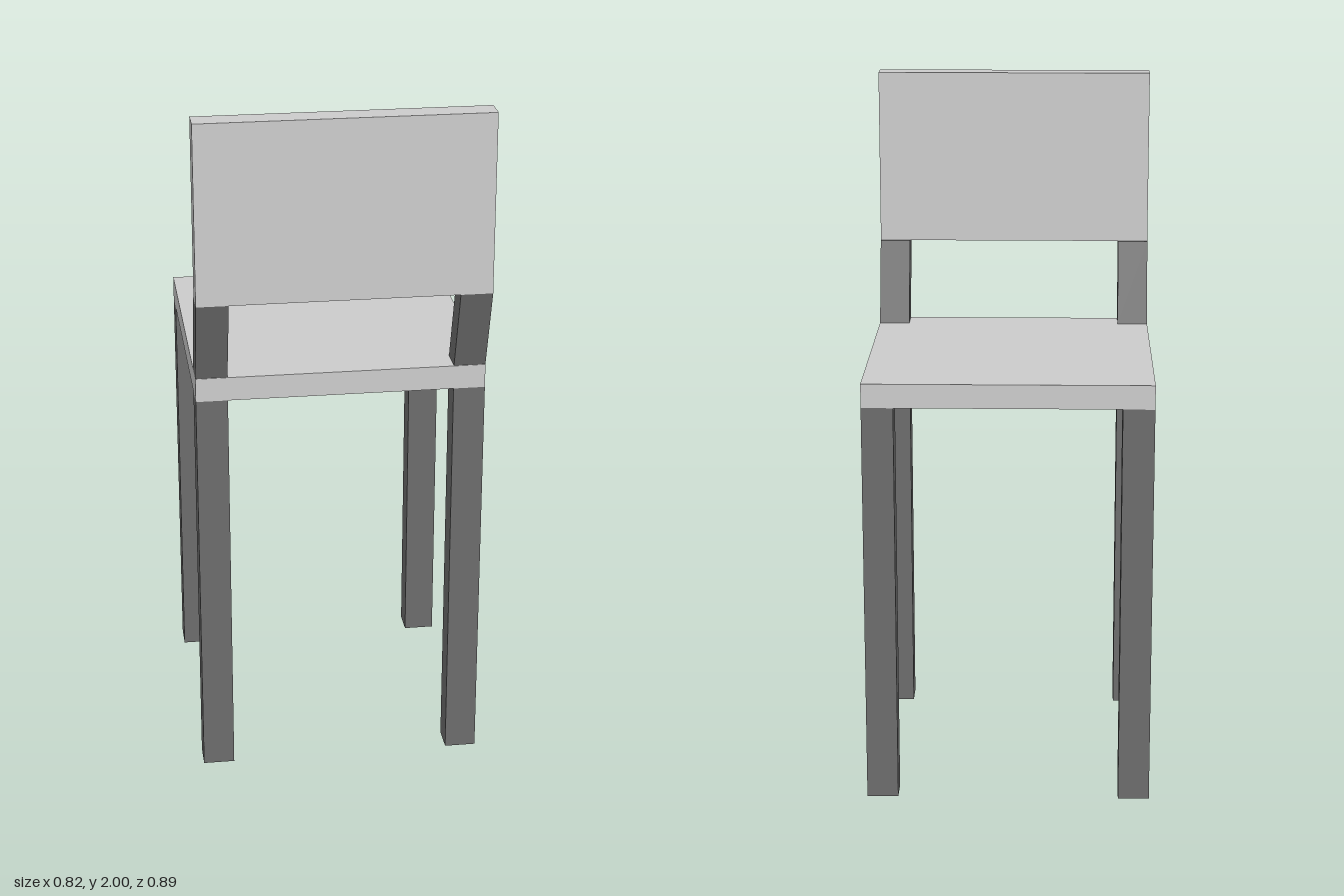
import * as THREE from 'three';

const light = new THREE.MeshStandardMaterial({ color: 0xcccccc });
const dark = new THREE.MeshStandardMaterial({ color: 0x6c6c6c });

const WIDTH = 0.82, LEG_WIDTH = 0.09;
const SEAT_BOTTOM = 1.174, SEAT_TOP = 1.243, BACK_BOTTOM = 1.485;

// Box given by its min and max corners
function box(name, [x0, y0, z0], [x1, y1, z1], material) {
  const geometry = new THREE.BoxGeometry(x1 - x0, y1 - y0, z1 - z0);
  geometry.translate((x0 + x1) / 2, (y0 + y1) / 2, (z0 + z1) / 2);
  const mesh = new THREE.Mesh(geometry, material);
  mesh.name = name;
  return mesh;
}

// Slides the upper corners of a box along z
function lean(mesh, middleY, shift) {
  const p = mesh.geometry.attributes.position;
  for (let i = 0; i < p.count; i++) {
    if (p.getY(i) > middleY) p.setZ(i, p.getZ(i) + shift);
  }
  mesh.geometry.computeVertexNormals();
  return mesh;
}

export function createModel() {
  const chair = new THREE.Group();
  chair.name = 'chair';
  const half = WIDTH / 2;

  // Seat slab and backrest panel
  chair.add(box('seat', [-half, SEAT_BOTTOM, -0.447], [half, SEAT_TOP, 0.372], light));
  chair.add(box('backrest', [-half, BACK_BOTTOM, 0.377], [half, 2, 0.447], light));

  for (const [side, x0] of [['left', half - LEG_WIDTH], ['right', -half]]) {
    const x1 = x0 + LEG_WIDTH;

    // Straight legs at both ends of the seat
    chair.add(box(side + 'BackrestLeg', [x0, 0, 0.292], [x1, SEAT_BOTTOM, 0.372], dark));
    chair.add(box(side + 'OpenEndLeg', [x0, 0, -0.447], [x1, SEAT_BOTTOM, -0.367], dark));

    // Leaning post carrying the backrest
    const post = box(side + 'BackrestPost', [x0, SEAT_TOP, 0.292], [x1, BACK_BOTTOM, 0.37], dark);
    chair.add(lean(post, (SEAT_TOP + BACK_BOTTOM) / 2, 0.077));
  }
  return chair;
}
